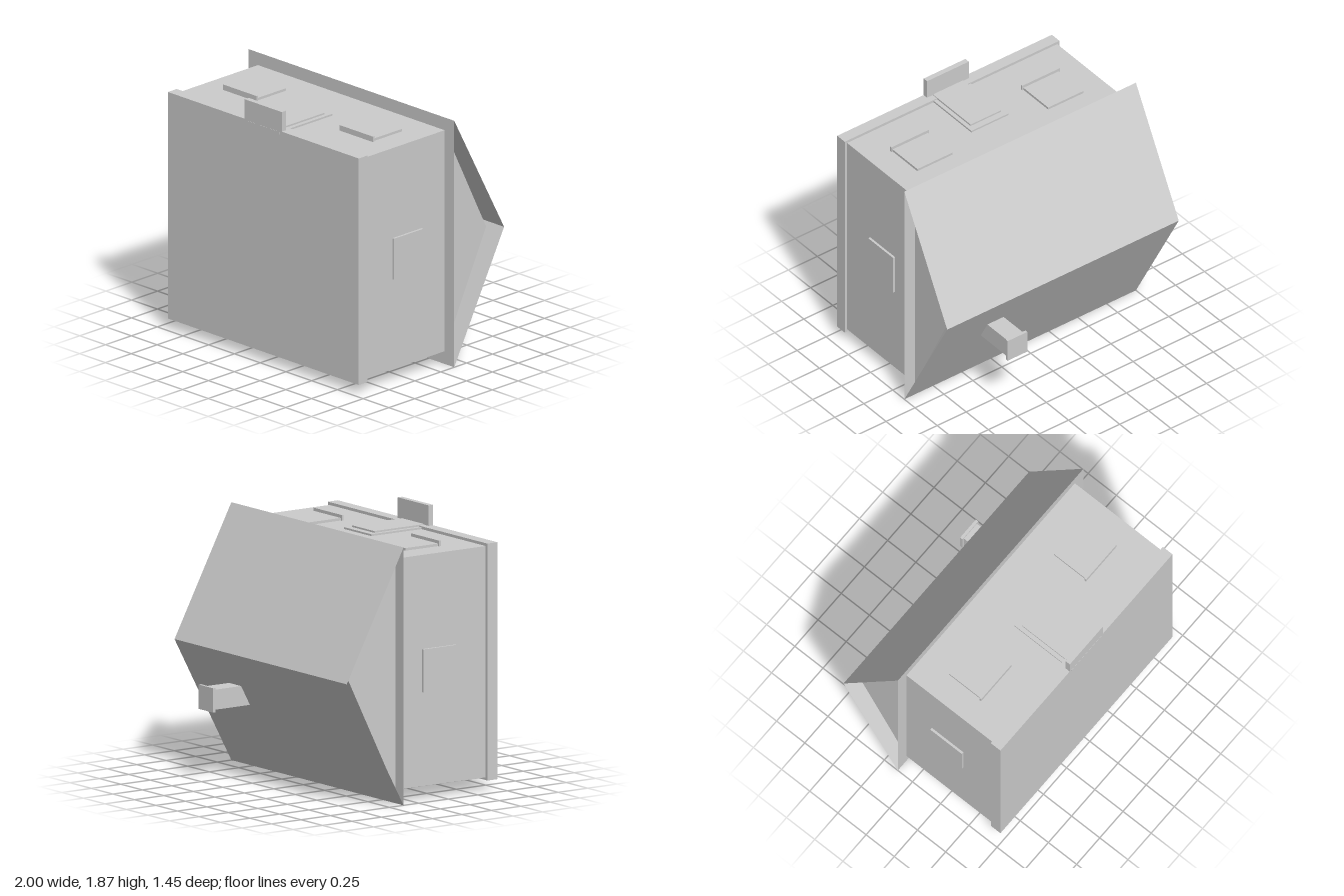
import * as THREE from 'three';

const grey = new THREE.MeshStandardMaterial({ color: 0xcccccc });
grey.name = 'plain grey';
grey.side = THREE.DoubleSide;

export function createModel() {
  const house = new THREE.Group();
  house.name = 'houseOnItsBack';

  const add = (name, geometry) => {
    const mesh = new THREE.Mesh(geometry, grey);
    mesh.name = name;
    house.add(mesh);
  };
  // Box given by its limits on each axis
  const box = (name, x0, x1, y0, y1, z0, z1) => {
    const g = new THREE.BoxGeometry(x1 - x0, y1 - y0, z1 - z0);
    g.translate((x0 + x1) / 2, (y0 + y1) / 2, (z0 + z1) / 2);
    add(name, g);
  };

  // Foundation slab
  box('foundation', -0.927, 0.927, 0.073, 1.727, 0.635, 0.72);

  // Walls with gable ends: a pentagon (-z, y) swept along x
  const pentagon = new THREE.Shape(
    [[-0.635, 0.093], [0.13, 0.093], [0.53, 0.9], [0.13, 1.707], [-0.635, 1.707]]
      .map(([u, v]) => new THREE.Vector2(u, v)));
  const walls = new THREE.ExtrudeGeometry(pentagon, { depth: 1.814, bevelEnabled: false });
  walls.translate(0, 0, -0.907).rotateY(Math.PI / 2);
  add('walls', walls);

  // Thin roof: two slopes and a flat soffit, open at both gables
  const profile = [[0, -0.13], [0.9, -0.612], [1.8, -0.13]];
  const corners = [];
  profile.forEach(([y0, z0], i) => {
    const [y1, z1] = profile[(i + 1) % 3];
    corners.push(-1, y0, z0, -1, y1, z1, 1, y1, z1, -1, y0, z0, 1, y1, z1, 1, y0, z0);
  });
  const roof = new THREE.BufferGeometry();
  roof.setAttribute('position', new THREE.Float32BufferAttribute(corners, 3));
  roof.computeVertexNormals();
  add('roof', roof);

  // Chimney and cap
  box('chimney', 0.41, 0.55, 0.51, 0.65, -0.705, -0.345);
  box('chimneyCap', 0.395, 0.565, 0.495, 0.665, -0.726, -0.705);

  // Door, its surround and the doorstep
  box('doorFrame', -0.16, 0.16, 1.70, 1.72, 0.21, 0.722);
  box('door', -0.13, 0.13, 1.70, 1.732, 0.257, 0.69);
  box('doorstep', -0.18, 0.18, 1.72, 1.87, 0.682, 0.7205);

  // Windows on every wall, mirrored left and right
  for (const s of [-1, 1]) {
    const cx = s * 0.565;
    box('frontWindow', cx - 0.152, cx + 0.152, 1.70, 1.725, 0.092, 0.37);
    box('frontSill', cx - 0.163, cx + 0.163, 1.70, 1.747, 0.37, 0.385);
    box('backWindow', cx - 0.152, cx + 0.152, 0.077, 0.1, 0.095, 0.375);
    const [a, b] = s > 0 ? [0.9, 0.924] : [-0.924, -0.9];
    box('sideWindow', a, b, 0.75, 1.05, 0.095, 0.375);
  }

  return house;
}
